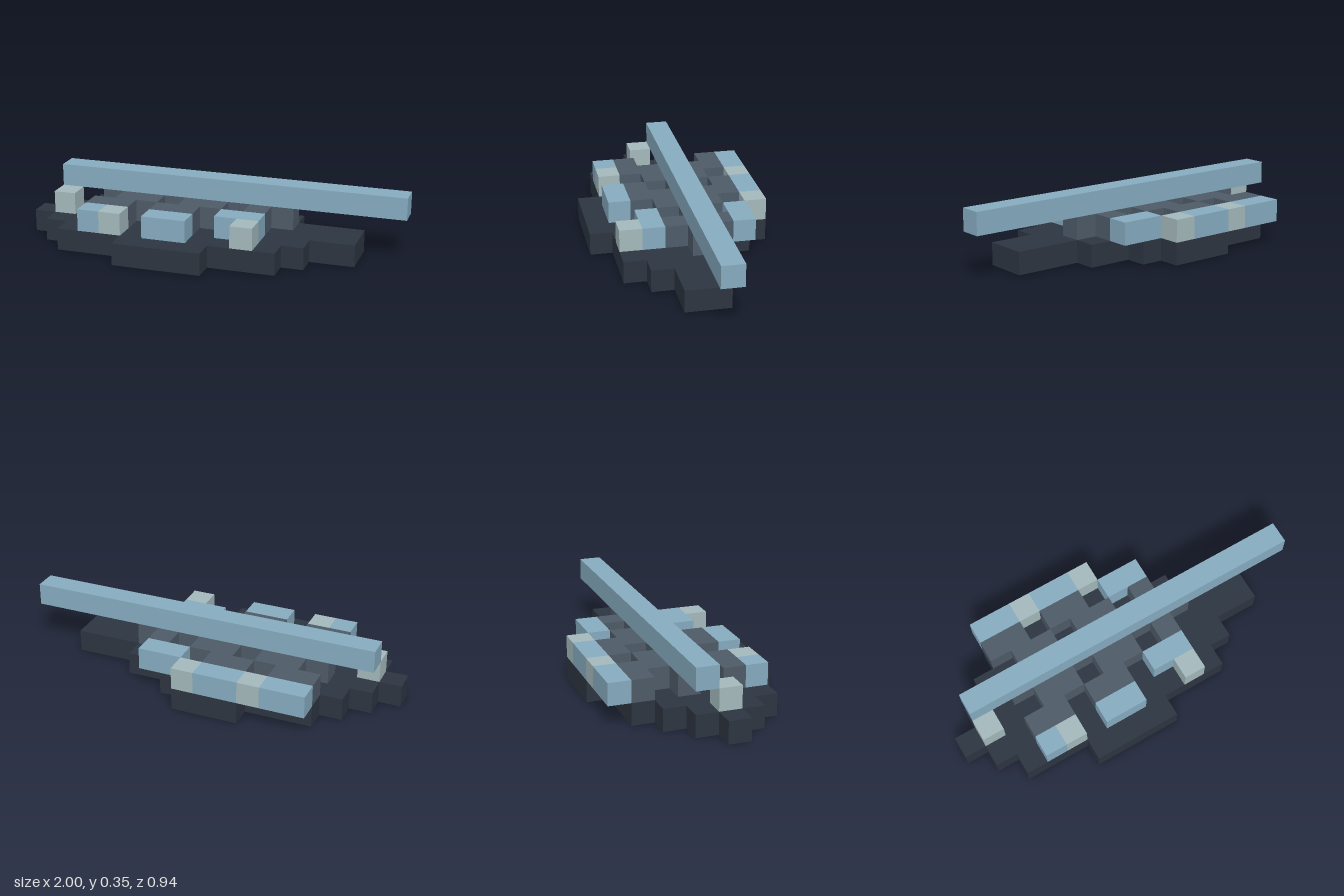
import * as THREE from 'three';

const U = 2 / 17; // edge of one block

const mats = {
  navy: new THREE.MeshStandardMaterial({ color: 0x2d3541 }),
  slate: new THREE.MeshStandardMaterial({ color: 0x4e5b68 }),
  blue: new THREE.MeshStandardMaterial({ color: 0x86abc0 }),
  paleGrey: new THREE.MeshStandardMaterial({ color: 0xa4b9bc }),
};
for (const name in mats) mats[name].name = name;

// One bar of blocks: columns [from, to) along x, in a row along z, on a layer along y
function bar(name, color, row, from, to, layer) {
  const n = to - from;
  const mesh = new THREE.Mesh(new THREE.BoxGeometry(n * U, U, U), mats[color]);
  mesh.position.set((from + n / 2 - 8.5) * U, (layer + 0.5) * U, (row + 0.5 - 4) * U);
  mesh.name = name;
  return mesh;
}

export function createModel() {
  const model = new THREE.Group();
  model.name = 'blockModel';
  const addGroup = (name, partName, color, layer, runs) => {
    const g = new THREE.Group();
    g.name = name;
    for (const [row, from, to] of runs) g.add(bar(partName, color, row, from, to, layer));
    model.add(g);
  };

  // Stepped base plate, one bar per row from back to front
  addGroup('base', 'baseRow', 'navy', 0, [
    [0, 6, 9], [1, 3, 10], [2, 2, 12], [3, 1, 15],
    [4, 0, 15], [5, 1, 13], [6, 2, 12], [7, 5, 9],
  ]);

  // Slate lattice with open cells
  addGroup('lattice', 'latticeBar', 'slate', 1, [
    [1, 3, 5], [1, 6, 8],
    [2, 4, 6], [2, 7, 9], [2, 10, 11],
    [3, 3, 12],
    [4, 4, 6], [4, 7, 9], [4, 10, 11],
    [5, 3, 5], [5, 6, 8],
  ]);

  // Blue blocks around the lattice
  addGroup('rimBlocks', 'rimBlock', 'blue', 1, [
    [0, 3, 5], [0, 6, 8], [1, 9, 11],
    [5, 9, 11], [6, 3, 4], [6, 6, 8],
  ]);

  // Pale end blocks
  addGroup('paleBlocks', 'paleBlock', 'paleGrey', 1, [
    [0, 5, 6], [0, 8, 9], [4, 1, 2], [6, 4, 5], [6, 10, 11],
  ]);

  // Long beam across the top
  model.add(bar('topBeam', 'blue', 3, 1, 17, 2));
  return model;
}
